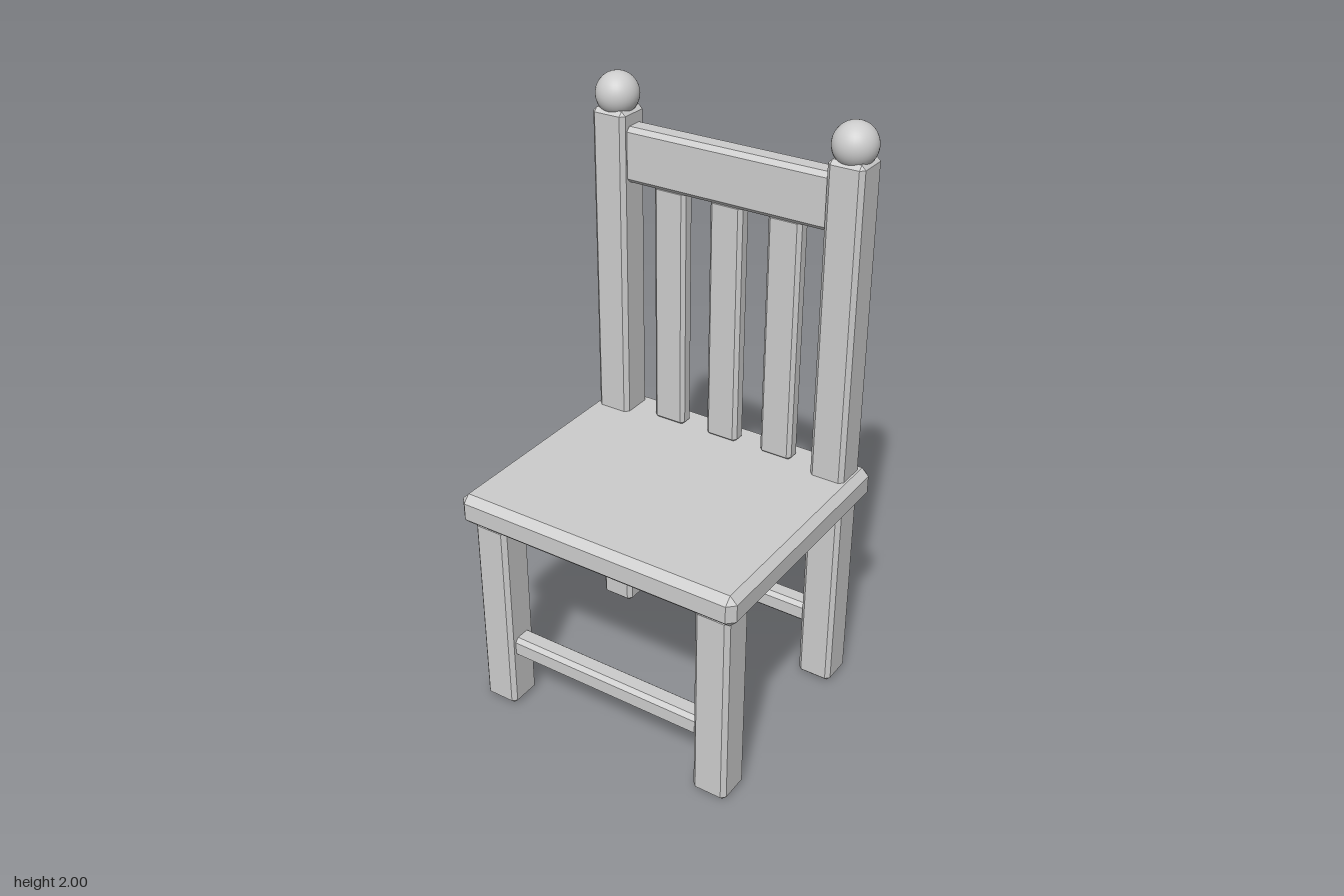
import * as THREE from 'three';
import { ConvexGeometry } from 'three/addons/geometries/ConvexGeometry.js';

// Box with every edge and corner chamfered by c
function chamferBox(w, h, d, c) {
  const half = [w / 2, h / 2, d / 2];
  const points = [];
  for (const sx of [-1, 1]) for (const sy of [-1, 1]) for (const sz of [-1, 1]) {
    for (let axis = 0; axis < 3; axis++) {
      // one point per face meeting at this corner
      const p = half.map((v, i) => (i === axis ? v : v - c));
      points.push(new THREE.Vector3(sx * p[0], sy * p[1], sz * p[2]));
    }
  }
  return new ConvexGeometry(points);
}

export function createModel() {
  const group = new THREE.Group();
  const grey = new THREE.MeshStandardMaterial({ color: 0xcccccc });
  grey.name = 'lightGrey';

  const add = (name, geometry, x, y, z) => {
    const mesh = new THREE.Mesh(geometry, grey);
    mesh.name = name;
    mesh.position.set(x, y, z);
    group.add(mesh);
  };
  // Chamfered bar spanning heights y0 to y1
  const bar = (name, x, z, w, d, y0, y1, c) =>
    add(name, chamferBox(w, y1 - y0, d, c), x, (y0 + y1) / 2, z);

  const legX = 0.417, legZ = 0.345, legW = 0.122, c = 0.014;

  bar('seat', 0, 0, 1.02, 0.875, 0.71, 0.82, 0.025);

  // Legs, back posts and their ball finials
  for (const [side, s] of [['left', 1], ['right', -1]]) {
    bar(side + 'FrontLeg', s * legX, legZ, legW, legW, 0, 0.715, c);
    bar(side + 'BackPost', s * legX, -legZ, legW, legW, 0, 1.89, c);
    add(side + 'Finial', new THREE.SphereGeometry(0.071, 32, 20), s * legX, 1.929, -legZ);
  }

  // Stretchers between the legs, front and back
  bar('frontStretcher', 0, legZ, 0.74, 0.075, 0.196, 0.27, c);
  bar('backStretcher', 0, -legZ, 0.74, 0.075, 0.196, 0.27, c);

  // Backrest: top rail and three slats
  bar('topRail', 0, -legZ, 0.74, 0.082, 1.655, 1.84, 0.015);
  for (const x of [-0.208, 0, 0.208]) {
    bar('backSlat', x, -legZ, 0.117, 0.055, 0.815, 1.665, 0.012);
  }

  return group;
}
